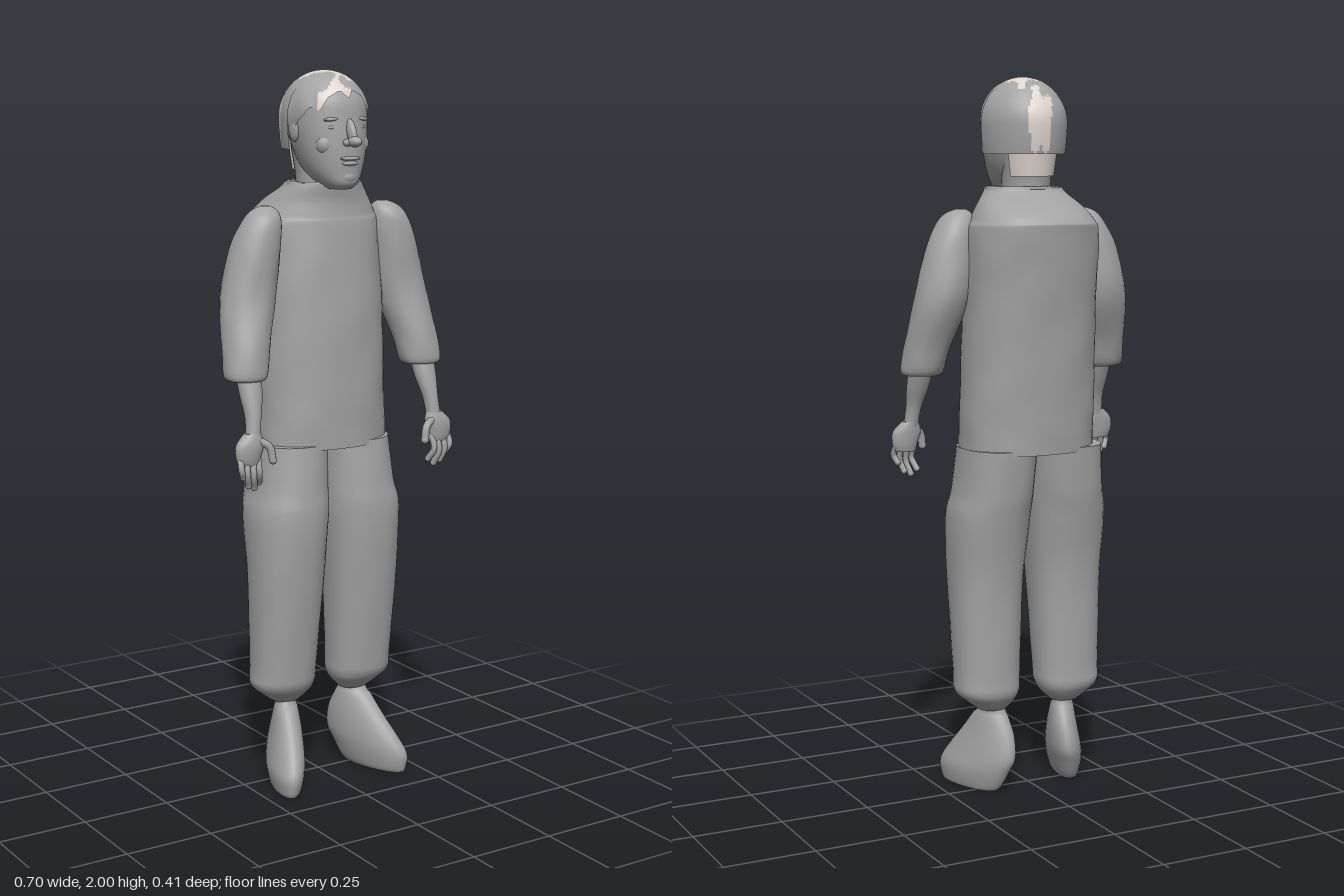
import * as THREE from 'three';

const grey = new THREE.MeshStandardMaterial({ color: 0xa3a3a3 });
grey.name = 'grey';
const beige = new THREE.MeshStandardMaterial({ color: 0xdfd5ce });
beige.name = 'scalp beige';
const hairMaterials = [grey, beige].map((m, i) => {
  const c = m.clone();
  c.side = THREE.DoubleSide;
  c.name = ['hair grey', 'hair beige'][i];
  return c;
});

// Smooth pass through four rows of numbers
const spline = (a, b, c, d, t) => b.map((p, k) =>
  p + 0.5 * t * (c[k] - a[k] + t * (2 * a[k] - 5 * p + 4 * c[k] - d[k] + t * (3 * (p - c[k]) + d[k] - a[k]))));

// Skin over rising oval sections [y, cx, cz, rx, rz]; power squares the oval, shear slides x with z
function loft(rows, { side = 1, power = 2, shear = 0, bump = 0, steps = 4, n = 32 } = {}) {
  const sections = [];
  for (let i = 0; i < rows.length - 1; i++)
    for (let s = 0; s < steps; s++)
      sections.push(spline(rows[Math.max(i - 1, 0)], rows[i], rows[i + 1], rows[Math.min(i + 2, rows.length - 1)], s / steps));
  sections.push(rows[rows.length - 1]);
  const pos = [], idx = [];
  const round = v => Math.sign(v) * Math.abs(v) ** (2 / power);
  sections.forEach(([y, cx, cz, rx, rz]) => {
    for (let j = 0; j < n; j++) {
      const a = j / n * Math.PI * 2;
      const w = 1 + bump * (Math.sin(y * 31 + 3 * a) + Math.sin(y * 53 - 5 * a + 1) + Math.sin(7 * a + y * 17));
      const z = cz + rz * w * round(Math.sin(a));
      pos.push(side * (cx + shear * z) + rx * w * round(Math.cos(a)), y, z);
    }
  });
  const rings = sections.length;
  for (let i = 0; i < rings - 1; i++)
    for (let j = 0; j < n; j++) {
      const a = i * n + j, b = i * n + (j + 1) % n;
      idx.push(a, a + n, b, b, a + n, b + n);
    }
  // flat end caps with their own corners
  for (const [ring, up] of [[0, false], [rings - 1, true]]) {
    const first = pos.length / 3;
    pos.push(...pos.slice(ring * n * 3, (ring + 1) * n * 3));
    for (let j = 1; j < n - 1; j++)
      idx.push(first, first + (up ? j + 1 : j), first + (up ? j : j + 1));
  }
  const g = new THREE.BufferGeometry();
  g.setAttribute('position', new THREE.Float32BufferAttribute(pos, 3));
  g.setIndex(idx);
  g.computeVertexNormals();
  return g;
}

function add(parent, name, geometry, material = grey) {
  const m = new THREE.Mesh(geometry, material);
  m.name = name;
  parent.add(m);
  return m;
}

function blob(parent, name, x, y, z, rx, ry, rz) {
  const m = add(parent, name, new THREE.SphereGeometry(1, 16, 12));
  m.position.set(x, y, z);
  m.scale.set(rx, ry, rz);
  return m;
}

// Rounded finger running through points
function finger(parent, name, points, r) {
  const curve = new THREE.CatmullRomCurve3(points.map(p => new THREE.Vector3(...p)));
  add(parent, name, new THREE.TubeGeometry(curve, 8, r, 8));
  const end = points[points.length - 1];
  blob(parent, name + 'Tip', ...end, r, r, r);
}

// Open hair surface from a rule (u around, v downward), with irregular beige patches
function hairSurface(rule, nu, nv) {
  const pos = [], idx = [[], []];
  for (let i = 0; i <= nv; i++)
    for (let j = 0; j <= nu; j++) pos.push(...rule(j / nu, i / nv));
  for (let i = 0; i < nv; i++)
    for (let j = 0; j < nu; j++) {
      const a = i * (nu + 1) + j, b = a + nu + 1;
      const [x, y, z] = pos.slice(a * 3, a * 3 + 3);
      const patch = Math.sin(x * 37 + 1.2 + Math.sin(z * 60)) + Math.sin(z * 43 - x * 21 + 0.5) + 0.4 * Math.sin(x * 140 + z * 90);
      idx[patch + (y - 1.95) * 9 > 0.2 ? 1 : 0].push(a, b, a + 1, b, b + 1, a + 1);
    }
  const g = new THREE.BufferGeometry();
  g.setAttribute('position', new THREE.Float32BufferAttribute(pos, 3));
  g.setIndex([...idx[0], ...idx[1]]);
  g.addGroup(0, idx[0].length, 0);
  g.addGroup(idx[0].length, idx[1].length, 1);
  g.computeVertexNormals();
  return g;
}

function buildHead() {
  const head = new THREE.Group();
  head.name = 'head';
  add(head, 'face', loft([
    [1.685, 0, 0.105, 0.03, 0.035], [1.70, 0, 0.095, 0.05, 0.062], [1.73, 0, 0.075, 0.072, 0.085],
    [1.77, 0, 0.06, 0.088, 0.102], [1.82, 0, 0.048, 0.1, 0.112], [1.87, 0, 0.035, 0.107, 0.12],
    [1.92, 0, 0.03, 0.105, 0.117], [1.96, 0, 0.025, 0.085, 0.092], [1.985, 0, 0.02, 0.04, 0.045],
  ], { power: 2.15 }));
  add(head, 'neck', loft([
    [1.62, 0, 0.01, 0.075, 0.08], [1.70, 0, 0.01, 0.066, 0.072], [1.80, 0, 0, 0.075, 0.08],
  ]));
  // beige nape showing under the hair
  const nape = add(head, 'nape', new THREE.CylinderGeometry(0.08, 0.07, 0.07, 24, 1, true, Math.PI * 0.6, Math.PI * 0.8), hairMaterials[1]);
  nape.position.set(0, 1.765, -0.004);
  // nose, brow, lips and chin
  const bridge = blob(head, 'noseBridge', 0, 1.838, 0.164, 0.012, 0.038, 0.018);
  bridge.rotation.x = -0.4;
  blob(head, 'noseTip', 0, 1.813, 0.18, 0.017, 0.015, 0.025);
  blob(head, 'upperLip', 0, 1.768, 0.158, 0.032, 0.006, 0.012);
  blob(head, 'lowerLip', 0, 1.755, 0.156, 0.026, 0.007, 0.012);
  blob(head, 'chin', 0, 1.718, 0.138, 0.032, 0.022, 0.024);
  for (const s of [-1, 1]) {
    blob(head, 'nostril', s * 0.014, 1.81, 0.163, 0.01, 0.01, 0.014);
    blob(head, 'eye', s * 0.042, 1.85, 0.135, 0.018, 0.008, 0.014);
    blob(head, 'brow', s * 0.044, 1.872, 0.137, 0.026, 0.006, 0.014).rotation.z = -s * 0.1;
    blob(head, 'cheek', s * 0.052, 1.805, 0.118, 0.03, 0.03, 0.026);
    blob(head, 'ear', s * 0.102, 1.845, 0.04, 0.012, 0.035, 0.022);
  }
  // tousled cap of hair with a jagged hairline
  add(head, 'frontHair', hairSurface((u, v) => {
    const a = u * Math.PI * 2, front = Math.max(0, Math.sin(a));
    const t = v * (1.85 - 0.8 * front ** 1.5 + 0.09 * Math.sin(a * 9) + 0.05 * Math.sin(a * 17));
    const w = 1 + 0.012 * v * Math.sin(a * 13 + v * 5);
    return [0.116 * w * Math.sin(t) * Math.cos(a), 1.882 + 0.118 * Math.cos(t), 0.03 + 0.13 * w * Math.sin(t) * Math.sin(a)];
  }, 72, 24), hairMaterials);
  // rear shell with straight lower walls
  add(head, 'rearHair', hairSurface((u, v) => {
    const a = Math.PI * (1 + u), t = Math.min(v / 0.65, 1) * Math.PI / 2, drop = Math.max(0, v - 0.65) / 0.35;
    const w = 1 - 0.05 * drop * drop;
    return [0.123 * w * Math.sin(t) * Math.cos(a), 1.875 + 0.122 * Math.cos(t) - 0.085 * drop, 0.04 + 0.146 * w * Math.sin(t) * Math.sin(a)];
  }, 48, 30), hairMaterials);
  return head;
}

function buildArm(s) {
  const arm = new THREE.Group();
  arm.name = s > 0 ? 'leftArm' : 'rightArm';
  add(arm, 'sleeve', loft([
    [1.185, 0.285, 0.088, 0.05, 0.047], [1.2, 0.285, 0.085, 0.061, 0.058], [1.27, 0.275, 0.07, 0.065, 0.065],
    [1.4, 0.247, 0.033, 0.077, 0.073], [1.53, 0.222, 0.033, 0.07, 0.068], [1.6, 0.205, 0.037, 0.053, 0.056],
    [1.63, 0.195, 0.035, 0.036, 0.035], [1.642, 0.19, 0.032, 0.012, 0.012],
  ], { side: s, bump: 0.008 }));
  add(arm, 'forearm', loft([
    [1.03, 0.297, 0.142, 0.021, 0.02], [1.09, 0.291, 0.132, 0.022, 0.023], [1.15, 0.286, 0.113, 0.032, 0.03], [1.22, 0.283, 0.09, 0.036, 0.034],
  ], { side: s, n: 20 }));
  add(arm, 'palm', loft([
    [0.965, 0.311, 0.145, 0.03, 0.015], [0.985, 0.313, 0.145, 0.037, 0.02], [1.02, 0.308, 0.144, 0.042, 0.023], [1.05, 0.298, 0.14, 0.024, 0.02],
  ], { side: s, n: 20 }));
  [[0.341, 0.925], [0.323, 0.9], [0.304, 0.892], [0.287, 0.905]].forEach(([x, y], i) => finger(arm, 'finger' + (i + 1), [
    [s * (x - 0.002), 0.985, 0.146], [s * (x + 0.001), (y + 0.985) / 2, 0.158], [s * (x - 0.008), y + 0.009, 0.15 - i * 0.003],
  ], 0.009));
  finger(arm, 'thumb', [[s * 0.287, 1.03, 0.15], [s * 0.258, 1.012, 0.162], [s * 0.25, 0.975, 0.166]], 0.011);
  return arm;
}

function buildLeg(s) {
  const leg = new THREE.Group();
  leg.name = s > 0 ? 'leftLeg' : 'rightLeg';
  add(leg, 'trouserLeg', loft([
    [0.235, 0.115, 0, 0.04, 0.038], [0.26, 0.12, 0.003, 0.07, 0.062], [0.29, 0.127, 0.007, 0.092, 0.081],
    [0.35, 0.126, 0.012, 0.094, 0.086], [0.6, 0.124, 0.023, 0.104, 0.104], [0.78, 0.119, 0.016, 0.113, 0.124],
    [0.86, 0.11, 0.005, 0.107, 0.128], [0.985, 0.101, -0.008, 0.104, 0.128],
  ], { side: s, power: 2.3, bump: 0.003 }));
  // shoe turned slightly outward
  add(leg, 'shoe', loft([
    [0, 0.135, 0.063, 0.038, 0.1], [0.015, 0.133, 0.06, 0.045, 0.11], [0.055, 0.13, 0.052, 0.053, 0.122],
    [0.1, 0.122, 0.032, 0.052, 0.118], [0.16, 0.115, 0.015, 0.045, 0.088], [0.21, 0.113, 0.008, 0.037, 0.055],
    [0.225, 0.113, 0.004, 0.033, 0.042], [0.25, 0.115, 0, 0.03, 0.032],
  ], { side: s, shear: 0.3 }));
  return leg;
}

export function createModel() {
  const model = new THREE.Group();
  model.name = 'standingFigure';
  add(model, 'shirt', loft([
    [0.972, 0.01, -0.01, 0.194, 0.138], [1.1, 0.01, -0.014, 0.192, 0.143], [1.35, 0.01, -0.026, 0.188, 0.15],
    [1.57, 0.01, -0.046, 0.184, 0.153], [1.61, 0.01, -0.048, 0.172, 0.149], [1.65, 0.01, -0.027, 0.147, 0.124],
    [1.685, 0.005, 0.01, 0.118, 0.09], [1.7, 0.005, 0.016, 0.11, 0.085],
  ], { power: 2.3, bump: 0.004, steps: 6, n: 48 }));
  // raised collar rim
  const collar = add(model, 'collar', new THREE.TorusGeometry(1, 0.06, 8, 32));
  collar.rotation.x = Math.PI / 2;
  collar.position.set(0.005, 1.697, 0.016);
  collar.scale.set(0.106, 0.082, 0.1);
  model.add(buildHead());
  for (const s of [-1, 1]) model.add(buildArm(s), buildLeg(s));
  return model;
}
